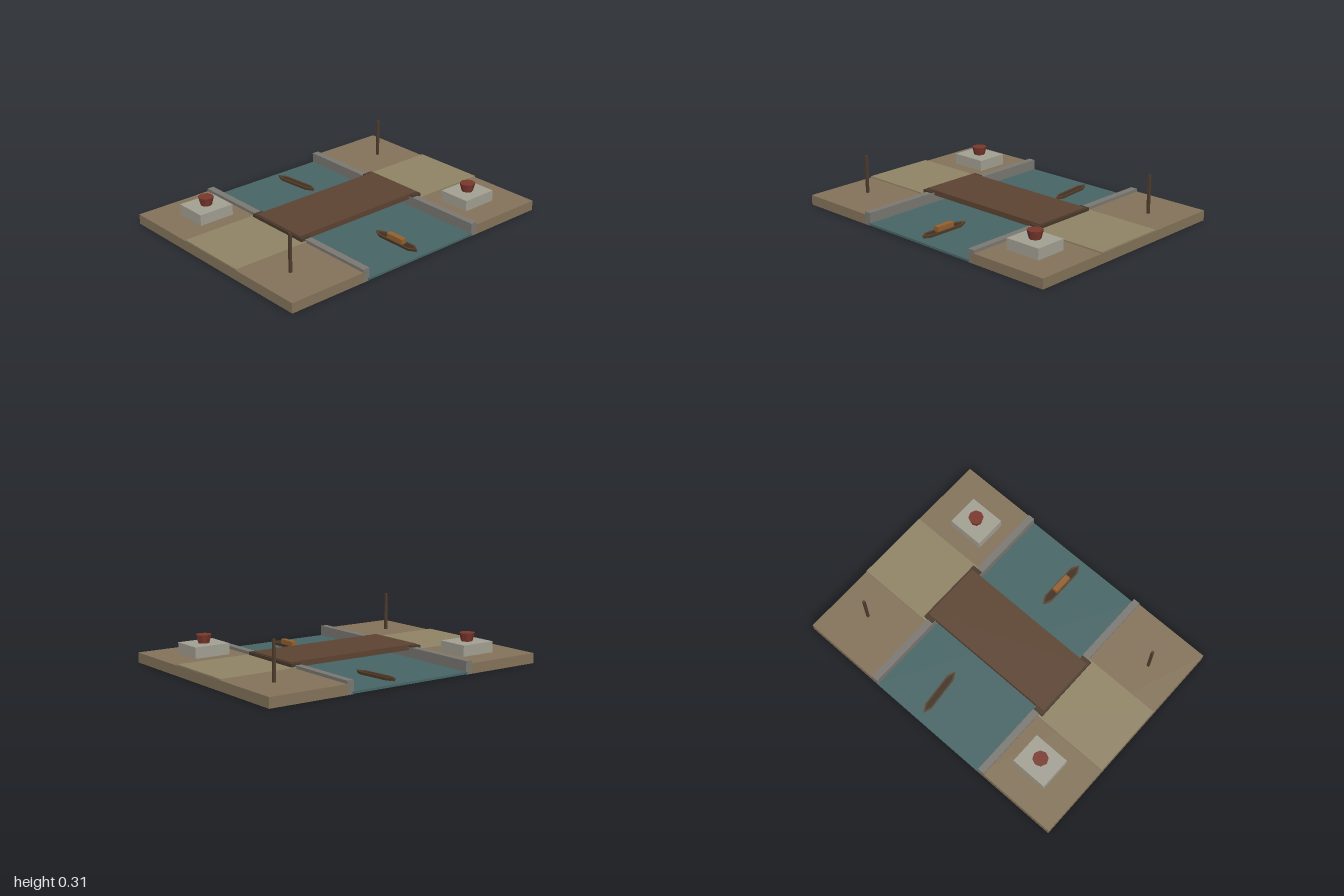
import * as THREE from 'three';

const mat = (color) => new THREE.MeshStandardMaterial({ color, flatShading: true, side: THREE.DoubleSide });
const M = {
  ground: mat(0x84735a), road: mat(0x918466), quay: mat(0x7b7872), water: mat(0x476566),
  deck: mat(0x5c4331), beam: mat(0x49392b), stone: mat(0xa3a093), clay: mat(0x7a382c),
  pole: mat(0x4f3d2d), hull: mat(0x5a412b), hullInside: mat(0x3f2f22), cargo: mat(0x94602f),
};

function add(parent, name, geo, material, x = 0, y = 0, z = 0) {
  const mesh = new THREE.Mesh(geo, material);
  mesh.name = name;
  mesh.position.set(x, y, z);
  parent.add(mesh);
  return mesh;
}

// Box given by its limits; openBottom leaves out the underside
function block(parent, name, material, [x0, x1], [y0, y1], [z0, z1], openBottom = false) {
  const geo = new THREE.BoxGeometry(x1 - x0, y1 - y0, z1 - z0);
  if (openBottom) {
    geo.setIndex(Array.from(geo.index.array).filter((_, i) => i < 18 || i >= 24));
    geo.clearGroups();
  }
  return add(parent, name, geo, material, (x0 + x1) / 2, (y0 + y1) / 2, (z0 + z1) / 2);
}

// Six-sided outline pointed at both ends
const outline = (w, l, tip) => [[0, l], [w, l - tip], [w, tip - l], [0, -l], [-w, tip - l], [-w, l - tip]];

// Skin through rings of equal point count; optional caps on the first and last ring
function loft(rings, capFirst, capLast) {
  const n = rings[0].points.length;
  const pos = [], idx = [];
  rings.forEach((r) => r.points.forEach(([x, z]) => pos.push(x, r.y, z)));
  for (let r = 0; r < rings.length - 1; r++) {
    for (let i = 0; i < n; i++) {
      const a = r * n + i, b = r * n + (i + 1) % n;
      idx.push(a, b, b + n, a, b + n, a + n);
    }
  }
  const last = (rings.length - 1) * n;
  for (let i = 1; i < n - 1; i++) {
    if (capFirst) idx.push(0, i + 1, i);
    if (capLast) idx.push(last, last + i, last + i + 1);
  }
  const geo = new THREE.BufferGeometry();
  geo.setAttribute('position', new THREE.Float32BufferAttribute(pos, 3));
  geo.setIndex(idx);
  geo.computeVertexNormals();
  return geo;
}

function boat(name, width, length, withCargo) {
  const g = new THREE.Group();
  g.name = name;
  const w = width / 2, l = length / 2;
  const inner = outline(w - 0.009, l - 0.018, 0.045);
  add(g, 'hull', loft([
    { y: 0.006, points: outline(w * 0.75, l * 0.92, 0.05) },
    { y: 0.036, points: outline(w, l, 0.05) },
    { y: 0.036, points: inner },
    { y: 0.031, points: inner },
  ], true, false), M.hull);
  add(g, 'hullFloor', loft([{ y: 0.031, points: inner }], false, true), M.hullInside);
  if (withCargo) block(g, 'cargo', M.cargo, [-0.018, 0.018], [0.03, 0.064], [-0.065, 0.065]);
  return g;
}

// One river bank on the +x side
function bank() {
  const g = new THREE.Group();
  g.name = 'bank';
  block(g, 'ground', M.ground, [0.45, 1], [0, 0.065], [-0.75, 0.75], true);
  block(g, 'road', M.road, [0.46, 1], [0.065, 0.074], [-0.25, 0.25], true);
  block(g, 'quayWall', M.quay, [0.427, 0.473], [0, 0.084], [-0.75, 0.75]);
  block(g, 'bridgeSeat', M.beam, [0.43, 0.5], [0.06, 0.094], [-0.235, 0.235]);

  // Stone plinth with a tapered bowl
  block(g, 'plinth', M.stone, [0.563, 0.808], [0.06, 0.136], [0.36, 0.576]);
  add(g, 'bowl', new THREE.CylinderGeometry(0.05, 0.036, 0.055, 8), M.clay, 0.686, 0.163, 0.468);

  // Standing pole
  block(g, 'pole', M.pole, [0.771, 0.787], [0.06, 0.315], [-0.476, -0.46]);
  return g;
}

export function createModel() {
  const model = new THREE.Group();
  model.name = 'canalCrossing';

  // Two banks, one turned half way round
  for (const turn of [0, Math.PI]) {
    const side = bank();
    side.rotation.y = turn;
    model.add(side);
  }

  block(model, 'water', M.water, [-0.435, 0.435], [0.003, 0.017], [-0.752, 0.752], true);
  block(model, 'bridgeDeck', M.deck, [-0.488, 0.488], [0.065, 0.1], [-0.207, 0.207]);

  const cargoBoat = boat('cargoBoat', 0.06, 0.365, true);
  cargoBoat.position.set(0, 0, 0.53);
  const smallBoat = boat('smallBoat', 0.052, 0.335, false);
  smallBoat.position.set(0.097, 0, -0.533);
  smallBoat.rotation.y = 0.1;
  model.add(cargoBoat, smallBoat);

  return model;
}
